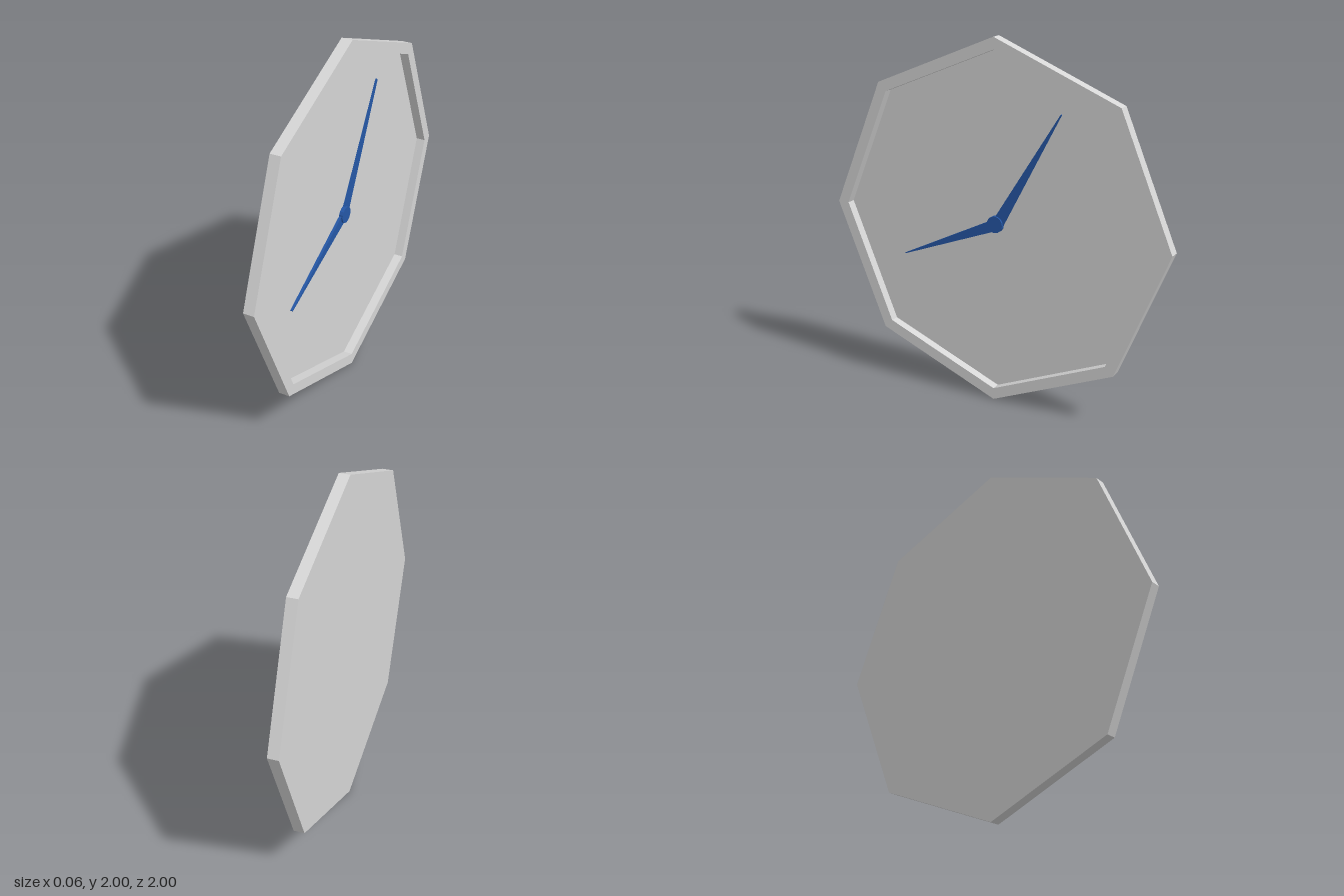
import * as THREE from 'three';

const grey = new THREE.MeshStandardMaterial({ color: 0xd6d6d6 });
grey.name = 'light grey';
const blue = new THREE.MeshStandardMaterial({ color: 0x2557a6 });
blue.name = 'blue';

const BACK = -0.03, DIAL = -0.02, FRONT = 0.03;

// Corner points of a regular polygon
function ring(radius, sides) {
  return Array.from({ length: sides }, (_, i) => {
    const a = (i / sides) * Math.PI * 2;
    return new THREE.Vector2(radius * Math.cos(a), radius * Math.sin(a));
  });
}

// Extrude a flat outline (drawn as seen from +x) between two x positions
function slab(name, shape, x0, x1, material) {
  const geo = new THREE.ExtrudeGeometry(shape, { depth: x1 - x0, bevelEnabled: false });
  geo.translate(0, 0, x0);
  geo.rotateY(Math.PI / 2);
  const mesh = new THREE.Mesh(geo, material);
  mesh.name = name;
  return mesh;
}

// Tapered hand pointing from the hub to a tip at (u, v), where u = -z and v = y
function hand(name, u, v, width, x0, x1) {
  const length = Math.hypot(u, v);
  const du = u / length, dv = v / length;
  const at = (along, side) => new THREE.Vector2(du * along - dv * side, dv * along + du * side);
  const shape = new THREE.Shape([
    at(0, -width / 2), at(length, -0.002), at(length, 0.002), at(0, width / 2),
  ]);
  return slab(name, shape, x0, x1, blue);
}

export function createModel() {
  const clock = new THREE.Group();
  clock.name = 'wallClock';

  // Octagonal case: back plate and raised rim
  const rim = new THREE.Shape(ring(1, 8));
  rim.holes.push(new THREE.Path(ring(0.935, 8).reverse()));
  clock.add(slab('rim', rim, BACK, FRONT, grey));
  clock.add(slab('dial', new THREE.Shape(ring(0.935, 8)), BACK, DIAL, grey));

  // Hands and hub
  clock.add(hand('minuteHand', 0.365, 0.63, 0.064, DIAL, -0.008));
  clock.add(hand('hourHand', -0.585, -0.255, 0.064, DIAL, -0.006));
  const hub = slab('hub', new THREE.Shape(ring(0.046, 16)), DIAL, 0.002, blue);
  hub.position.z = 0.01;
  clock.add(hub);

  // Stand the case on the ground
  clock.children.forEach((part) => { part.position.y = 1; });
  return clock;
}
